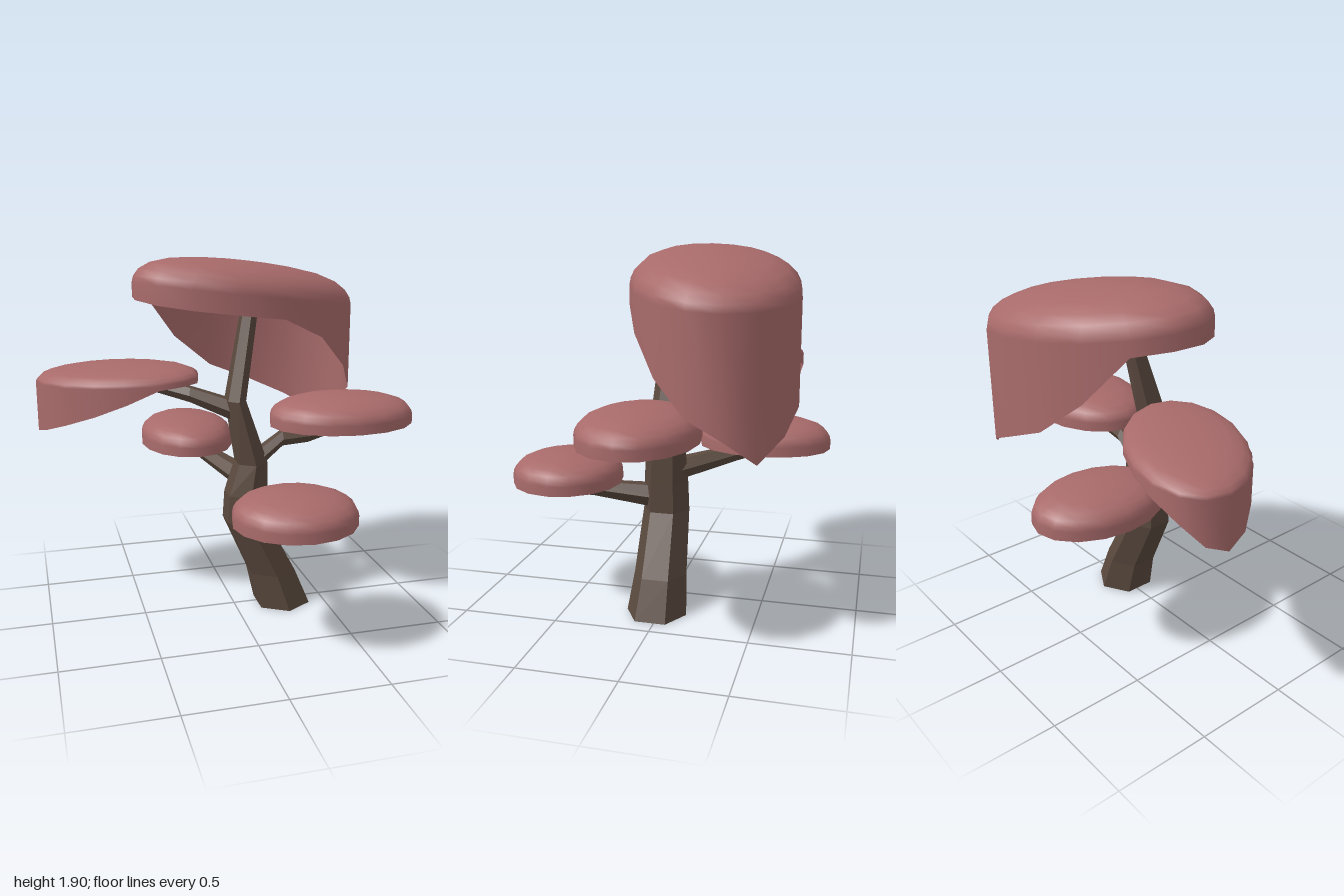
import * as THREE from 'three';

const bark = new THREE.MeshStandardMaterial({ color: 0x5a493e, flatShading: true });
const foliage = new THREE.MeshStandardMaterial({ color: 0xa86a6a, side: THREE.DoubleSide });

function buildGeometry(positions, index) {
  const g = new THREE.BufferGeometry();
  g.setAttribute('position', new THREE.Float32BufferAttribute(positions, 3));
  g.setIndex(index);
  g.computeVertexNormals();
  return g;
}

// Six-sided limb through rings [x, y, z, ru, rv]; u and v span each ring, u x v points along the limb.
function limb(name, rings, u, v) {
  const n = 6, pos = [], idx = [];
  for (const [x, y, z, ru, rv] of rings) {
    for (let j = 0; j < n; j++) {
      const a = (j / n) * Math.PI * 2;
      const p = new THREE.Vector3(x, y, z)
        .addScaledVector(u, Math.cos(a) * ru)
        .addScaledVector(v, Math.sin(a) * rv);
      pos.push(p.x, p.y, p.z);
    }
  }
  const last = (rings.length - 1) * n;
  for (let i = 0; i < last; i += n) {
    for (let j = 0; j < n; j++) {
      const k = (j + 1) % n;
      idx.push(i + j, i + k, i + n + k, i + j, i + n + k, i + n + j);
    }
  }
  // end caps
  for (let j = 1; j < n - 1; j++) idx.push(0, j + 1, j, last, last + j, last + j + 1);
  const mesh = new THREE.Mesh(buildGeometry(pos, idx), bark);
  mesh.name = name;
  return mesh;
}

// Side branch through points [x, y, z, radius], with upright rings.
function branch(name, points) {
  const a = points[0], b = points[points.length - 1];
  const up = new THREE.Vector3(0, 1, 0);
  const heading = new THREE.Vector3(b[0] - a[0], 0, b[2] - a[2]).normalize();
  const side = new THREE.Vector3().crossVectors(up, heading);
  return limb(name, points.map(([x, y, z, r]) => [x, y, z, r, r]), side, up);
}

// Open-bottomed foliage cap: a vertical wall from the rim up to a tilted ellipse, closed by a dome.
function canopy(name, { center: [cx, cy, cz], a, b, turn = 0, slopeX = 0, slopeZ = 0, height, rim }) {
  const n = 16, pos = [], idx = [];
  const profile = [[1, 0], [0.985, 0.2], [0.94, 0.42], [0.84, 0.65], [0.66, 0.84], [0.4, 0.95], [0.18, 0.99]];
  const ring = (r, yAt) => {
    for (let j = 0; j < n; j++) {
      const t = (j / n) * Math.PI * 2;
      const p = a * r * Math.cos(t), q = b * r * Math.sin(t);
      const dx = p * Math.cos(turn) - q * Math.sin(turn);
      const dz = p * Math.sin(turn) + q * Math.cos(turn);
      pos.push(cx + dx, yAt(j, dx, dz), cz + dz);
    }
  };
  ring(1, (j) => (Array.isArray(rim) ? rim[j] : rim));
  for (const [r, h] of profile) ring(r, (j, dx, dz) => cy + slopeX * dx + slopeZ * dz + h * height);
  const apex = pos.length / 3;
  pos.push(cx, cy + height, cz);
  for (let i = 0; i < profile.length; i++) {
    for (let j = 0; j < n; j++) {
      const k = (j + 1) % n, o = i * n;
      idx.push(o + j, o + n + j, o + n + k, o + j, o + n + k, o + k);
    }
  }
  for (let j = 0; j < n; j++) idx.push(apex - n + j, apex, apex - n + ((j + 1) % n));
  const mesh = new THREE.Mesh(buildGeometry(pos, idx), foliage);
  mesh.name = name;
  return mesh;
}

export function createModel() {
  const tree = new THREE.Group();
  tree.name = 'tree';

  // Bent trunk, thinning into the top limb (ru along z, rv along x)
  tree.add(limb('trunk', [
    [0.27, 0, 0.02, 0.16, 0.16],
    [0.205, 0.2, 0.015, 0.14, 0.14],
    [0.055, 0.51, 0.02, 0.125, 0.125],
    [0.06, 0.66, 0.02, 0.12, 0.12],
    [0.09, 0.83, 0.015, 0.108, 0.09],
    [0.005, 1.17, 0.005, 0.09, 0.055],
    [0.1, 1.63, -0.07, 0.055, 0.046],
    [0.125, 1.77, -0.09, 0.045, 0.04],
  ], new THREE.Vector3(0, 0, 1), new THREE.Vector3(1, 0, 0)));

  // Side branches
  tree.add(
    branch('frontBranch', [[0.07, 0.58, 0.06, 0.07], [0.14, 0.62, 0.4, 0.045], [0.22, 0.632, 0.64, 0.03]]),
    branch('backBranch', [[0.06, 0.73, -0.03, 0.065], [-0.09, 0.8, -0.33, 0.045], [-0.2, 0.86, -0.62, 0.025]]),
    branch('rightBranch', [[0.09, 0.82, 0.02, 0.06], [0.26, 0.95, 0.02, 0.045], [0.4, 0.96, 0.03, 0.042], [0.75, 1.06, 0.06, 0.025]]),
    branch('rightTwig', [[0.42, 0.97, 0.03, 0.03], [0.42, 1.03, 0.16, 0.02]]),
    branch('leftBranch', [[0.01, 1.11, 0, 0.06], [-0.21, 1.19, -0.09, 0.045], [-0.45, 1.245, -0.22, 0.035], [-0.8, 1.25, -0.39, 0.022]]),
  );

  // Level caps
  tree.add(
    canopy('frontCanopy', { center: [0.17, 0.71, 0.53], a: 0.312, b: 0.288, height: 0.11, rim: 0.66 }),
    canopy('rightCanopy', { center: [0.6, 1.06, 0.01], a: 0.4, b: 0.288, height: 0.11, rim: 1.01 }),
    canopy('backCanopy', { center: [-0.165, 0.88, -0.47], a: 0.258, b: 0.35, height: 0.11, rim: 0.83 }),
  );

  // Tilted caps with a drooping skirt on one side
  tree.add(
    canopy('leftCanopy', {
      center: [-0.58, 1.265, -0.27], a: 0.458, b: 0.287, turn: 0.54, slopeX: 0.06, height: 0.075,
      rim: [1.26, 1.26, 1.25, 1.18, 1.11, 1.05, 1.0, 0.97, 1.02, 1.12, 1.19, 1.23, 1.25, 1.26, 1.26, 1.26],
    }),
    canopy('topCanopy', {
      center: [0.125, 1.695, -0.25], a: 0.635, b: 0.425, turn: -0.244, slopeX: -0.12, slopeZ: 0.05, height: 0.175,
      rim: [1.06, 1.15, 1.31, 1.49, 1.6, 1.63, 1.655, 1.675, 1.69, 1.69, 1.67, 1.43, 1.24, 1.14, 1.04, 0.94],
    }),
  );
  return tree;
}
